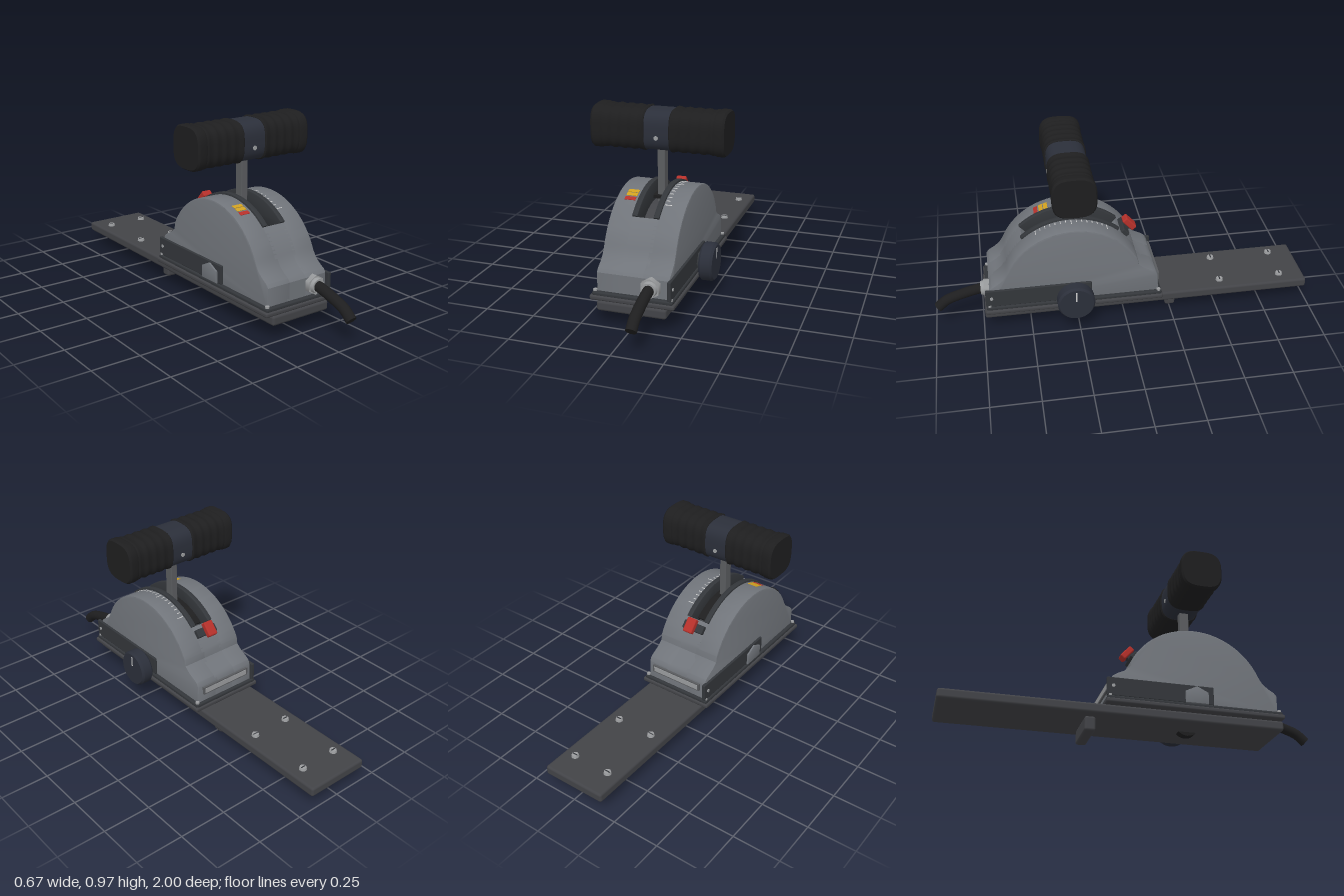
import * as THREE from 'three';
import { toCreasedNormals } from 'three/addons/utils/BufferGeometryUtils.js';
import { RoundedBoxGeometry } from 'three/addons/geometries/RoundedBoxGeometry.js';

const mat = (c) => new THREE.MeshStandardMaterial({ color: c });
const M = {
  housing: mat(0x70747a), plate: mat(0x424347), trim: mat(0x33363a), black: mat(0x1e1e1f),
  collar: mat(0x2b2f3a), steel: mat(0x9a9c9e), lever: mat(0x5a5c5f), red: mat(0xb5302a),
  yellow: mat(0xd0a020), white: mat(0xd8d8d8),
};
const CZ = 0.27, CY = 0.2, R = 0.375; // lever pivot and housing arc

export function createModel() {
  const root = new THREE.Group();
  const add = (name, geo, m, x = 0, y = 0, z = 0, parent = root) => {
    const o = new THREE.Mesh(geo, m);
    o.name = name;
    o.position.set(x, y, z);
    parent.add(o);
    return o;
  };
  const box = (name, m, x0, x1, y0, y1, z0, z1, r = 0) => add(name,
    r ? new RoundedBoxGeometry(x1 - x0, y1 - y0, z1 - z0, 2, r) : new THREE.BoxGeometry(x1 - x0, y1 - y0, z1 - z0),
    m, (x0 + x1) / 2, (y0 + y1) / 2, (z0 + z1) / 2);
  // extrude a (z, y) outline across x
  const across = (name, shape, m, x0, x1, bevel = 0) => {
    const g = new THREE.ExtrudeGeometry(shape, {
      depth: x1 - x0 - 2 * bevel, bevelEnabled: bevel > 0, bevelSize: bevel, bevelThickness: bevel,
      bevelOffset: -bevel, bevelSegments: 2, curveSegments: 32,
    });
    g.translate(0, 0, -(x1 - x0 - 2 * bevel) / 2).rotateY(-Math.PI / 2);
    return add(name, toCreasedNormals(g, 0.5), m, (x0 + x1) / 2);
  };
  // points on an arc round the pivot, angle measured from vertical towards the front
  const arc = (r, a0, a1, n = 28) => Array.from({ length: n + 1 }, (_, i) => {
    const a = a0 + (a1 - a0) * i / n;
    return new THREE.Vector2(CZ + r * Math.sin(a), CY + r * Math.cos(a));
  });
  const band = (r0, r1, a0, a1) => new THREE.Shape([...arc(r0, a0, a1), ...arc(r1, a1, a0)]);
  // group whose y axis points outwards from the pivot
  const radial = (name, a) => {
    const g = new THREE.Group();
    g.name = name;
    g.position.set(0, CY, CZ);
    g.rotation.x = a;
    root.add(g);
    return g;
  };

  // base plate with its screws and clamp below
  box('basePlate', M.plate, -0.173, 0.173, 0.073, 0.124, -1, 0.74, 0.013);
  for (const x of [-0.103, 0.103]) for (const z of [-0.53, -0.865]) {
    add('plateScrew', new THREE.CylinderGeometry(0.017, 0.02, 0.014, 16), M.steel, x, 0.13, z);
    box('screwSlot', M.trim, x - 0.014, x + 0.014, 0.136, 0.138, z - 0.003, z + 0.003);
  }
  box('clampBar', M.plate, -0.117, 0.117, 0, 0.075, -0.283, -0.228, 0.012);
  add('pivotStub', new THREE.CylinderGeometry(0.065, 0.065, 0.046, 24).rotateZ(Math.PI / 2), M.black, 0, 0.118, CZ);

  // flange, two steps
  box('flangeLower', M.plate, -0.21, 0.21, 0.122, 0.146, -0.197, 0.735, 0.009);
  box('flangeUpper', M.trim, -0.2, 0.2, 0.14, 0.163, -0.19, 0.728, 0.009);
  for (const x of [-0.187, 0.187]) for (const z of [-0.175, 0.712])
    add('flangeScrew', new THREE.CylinderGeometry(0.01, 0.01, 0.012, 12), M.steel, x, 0.166, z);

  // housing: two bevelled cheeks and a core with the lever slot
  const front = [[0.708, 0.155], [0.708, 0.255], [0.695, 0.272], [0.665, 0.29], [0.635, 0.315]];
  const back = [[-0.07, 0.335], [-0.1, 0.31], [-0.14, 0.29], [-0.16, 0.277], [-0.172, 0.255], [-0.176, 0.155]];
  const v = (p) => p.map(([a, b]) => new THREE.Vector2(a, b));
  const A0 = 1.17, A1 = -1.1, S0 = 0.73, S1 = -0.72;
  const cheek = new THREE.Shape([...v(front), ...arc(R, A0, A1, 40), ...v(back)]);
  const core = new THREE.Shape([...v(front), ...arc(R, A0, S0, 10), ...arc(0.285, S0, S1), ...arc(R, S1, A1, 10), ...v(back)]);
  across('housingLeft', cheek, M.housing, 0.042, 0.181, 0.008);
  across('housingRight', cheek, M.housing, -0.181, -0.042, 0.008);
  across('housingCore', core, M.housing, -0.065, 0.065);

  // slot guides, slider and floor lining
  for (const s of [-1, 1])
    across('slotGuide', band(0.28, 0.386, S0, S1), M.trim, s * 0.054 - 0.014, s * 0.054 + 0.014, 0.003);
  across('slotFloor', band(0.275, 0.29, S0, S1), M.plate, -0.042, 0.042);
  across('slider', band(0.308, 0.325, 0.12, -0.66), M.black, -0.037, 0.037);

  // lever
  box('lever', M.lever, -0.019, 0.019, 0.4, 0.78, CZ - 0.025, CZ + 0.025, 0.004);

  // handle: turned profiles squared off into a rounded section
  const squared = (pts) => {
    const g = new THREE.LatheGeometry(pts.map(([r, h]) => new THREE.Vector2(r, h)), 48);
    const p = g.attributes.position;
    for (let i = 0; i < p.count; i++) {
      const x = p.getX(i), z = p.getZ(i), r = Math.hypot(x, z);
      if (r < 1e-6) continue;
      const k = 1 / Math.pow(Math.abs(x / r) ** 3.2 + Math.abs(z / r) ** 3.2, 1 / 3.2);
      p.setXYZ(i, x * k, p.getY(i), z * k);
    }
    return toCreasedNormals(g.rotateZ(-Math.PI / 2), 0.6);
  };
  const grip = [[0, 0.063], [0.102, 0.063], [0.107, 0.069]];
  for (let i = 0; i <= 32; i++) grip.push([0.1035 + 0.0025 * Math.cos(i / 32 * Math.PI * 8), 0.075 + i / 32 * 0.2]);
  grip.push([0.104, 0.282], [0.109, 0.294], [0.109, 0.326], [0.102, 0.336], [0, 0.336]);
  const gripGeo = squared(grip);
  for (const s of [0, 1])
    add(s ? 'gripRight' : 'gripLeft', gripGeo, M.black, 0, 0.857, CZ).rotation.y = s * Math.PI;
  add('handleCollar', squared([[0, -0.066], [0.1, -0.066], [0.1, 0.066], [0, 0.066]]), M.collar, 0, 0.857, CZ);
  for (const s of [-1, 1])
    add('collarScrew', new THREE.CylinderGeometry(0.011, 0.011, 0.01, 16).rotateX(Math.PI / 2), M.steel, 0, 0.83, CZ + s * 0.099);

  // red stop catch behind the slot
  const stop = radial('stopCatch', -0.84);
  add('catchBase', new RoundedBoxGeometry(0.125, 0.03, 0.045, 2, 0.006), M.trim, 0, 0.383, 0, stop);
  add('catchStem', new THREE.BoxGeometry(0.035, 0.04, 0.04), M.trim, 0, 0.4, 0, stop);
  add('catchTab', new RoundedBoxGeometry(0.055, 0.034, 0.08, 2, 0.008), M.red, 0, 0.425, 0, stop);

  // colour bands and scale ticks on the arc
  [[0.3, M.yellow], [0.37, M.yellow], [0.45, M.red]].forEach(([a, m]) =>
    add('colourBand', new THREE.BoxGeometry(0.056, 0.004, 0.022), m, -0.11, R, 0, radial('bandMount', a)));
  for (let i = 0; i <= 14; i++) {
    const w = i % 7 ? 0.02 : 0.036;
    add('scaleTick', new THREE.BoxGeometry(w, 0.003, 0.004), M.white, 0.073 + w / 2, R, 0, radial('tickMount', -0.52 + i * 0.073));
  }

  // side rails, turned half round for the other side
  const rails = [[1, 0.18, 0.73], [-1, -0.192, 0.36]];
  for (const [s, z0, z1] of rails) {
    box('sideRail', M.trim, s * 0.184 - 0.009, s * 0.184 + 0.009, 0.163, 0.26, z0, z1, 0.004);
    add('railScrew', new THREE.CylinderGeometry(0.009, 0.009, 0.006, 12).rotateZ(Math.PI / 2), M.steel, s * 0.194, 0.215, s > 0 ? 0.7 : -0.16);
  }
  const clip = new THREE.Shape(v([[0.21, 0.163], [0.33, 0.163], [0.33, 0.225], [0.27, 0.255], [0.21, 0.225]]));
  across('sideClip', clip, M.housing, -0.202, -0.18, 0.003);

  // back label plates, left blank
  box('backPlate', M.lever, -0.15, 0.15, 0.205, 0.247, -0.184, -0.17);
  box('backPlateInset', M.steel, -0.14, 0.14, 0.212, 0.24, -0.186, -0.18);

  // friction knob
  const knob = [[0, 0], [0.088, 0], [0.097, 0.01], [0.097, 0.058], [0.088, 0.07], [0, 0.07]];
  add('knob', toCreasedNormals(new THREE.LatheGeometry(knob.map((p) => new THREE.Vector2(...p)), 32).rotateZ(-Math.PI / 2), 0.5),
    M.collar, 0.21, 0.19, CZ);
  add('knobShaft', new THREE.CylinderGeometry(0.055, 0.055, 0.04, 6).rotateZ(Math.PI / 2), M.trim, 0.196, 0.19, CZ);
  box('knobPointer', M.white, 0.278, 0.282, 0.21, 0.265, CZ - 0.004, CZ + 0.004);

  // cable and its gland nut
  add('glandNut', new THREE.CylinderGeometry(0.05, 0.05, 0.03, 6).rotateX(Math.PI / 2), M.steel, 0.093, 0.218, 0.72);
  add('glandCollar', new THREE.CylinderGeometry(0.035, 0.04, 0.02, 24).rotateX(Math.PI / 2), M.steel, 0.093, 0.218, 0.742);
  const path = new THREE.CatmullRomCurve3([[0.7, 0.22], [0.76, 0.215], [0.85, 0.192], [0.93, 0.162], [0.978, 0.122]]
    .map(([z, y]) => new THREE.Vector3(0.093, y, z)));
  add('cable', new THREE.TubeGeometry(path, 24, 0.027, 16), M.black);
  const end = add('cableEnd', new THREE.CircleGeometry(0.027, 16), M.black, 0.093, 0.122, 0.978);
  end.lookAt(end.position.clone().add(path.getTangent(1)));

  return root;
}
